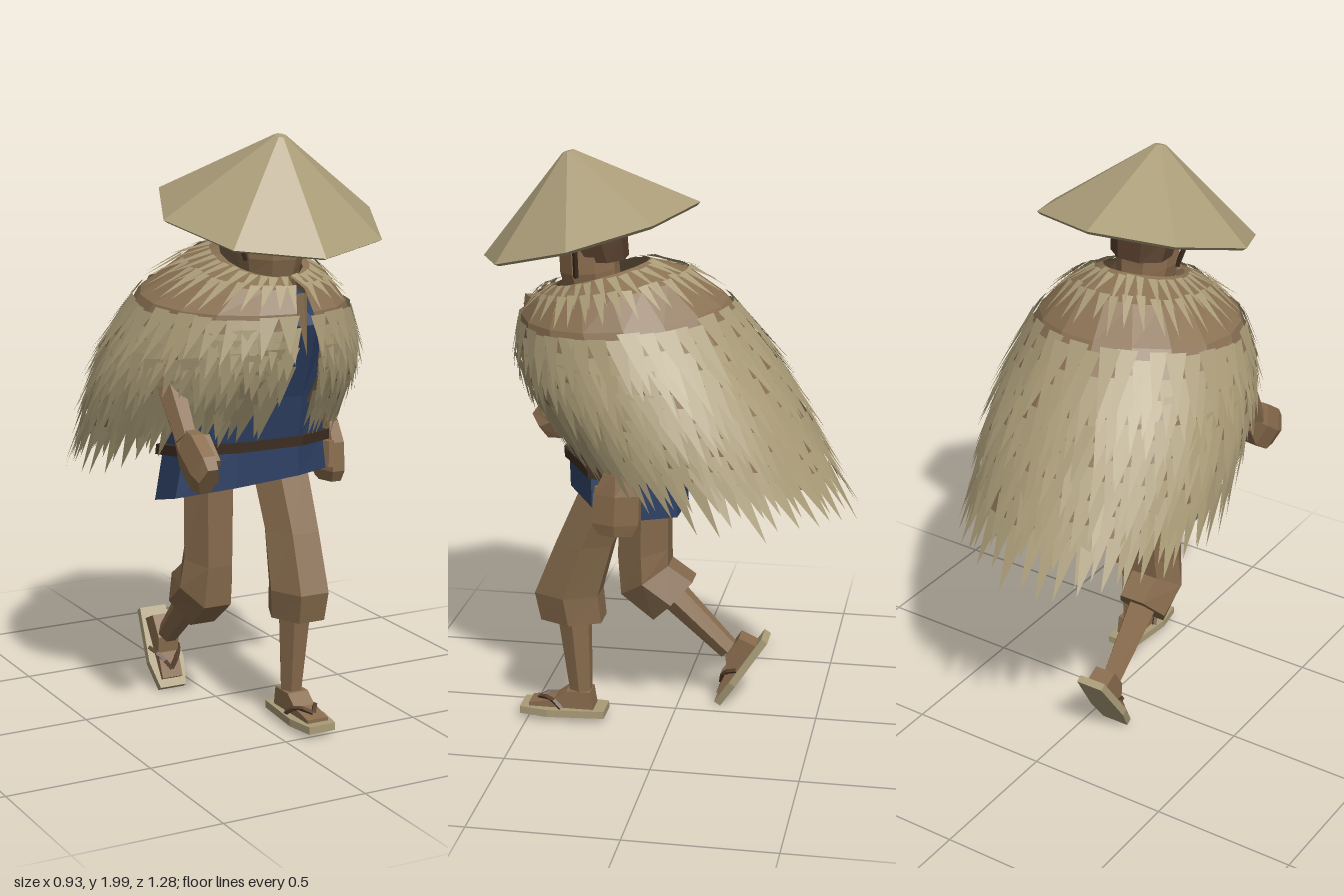
import * as THREE from 'three';

const mat = (name, color, side = THREE.FrontSide) => {
  const m = new THREE.MeshStandardMaterial({ color, side });
  m.name = name;
  return m;
};

// Flat normals for the faceted style
const flat = (g) => {
  const f = g.index ? g.toNonIndexed() : g;
  f.computeVertexNormals();
  return f;
};

const fromTriangles = (pts) => {
  const g = new THREE.BufferGeometry();
  g.setAttribute('position', new THREE.Float32BufferAttribute(pts.flatMap((p) => [p.x, p.y, p.z]), 3));
  return flat(g);
};

// Faceted limb through oval sections, listed top to bottom: [x, y, z, rx, rz, pitch, sideways slope]
function loft(sections, n = 6) {
  const rings = sections.map(([x, y, z, rx, rz, p = 0, slope = 0]) =>
    Array.from({ length: n }, (_, i) => {
      const a = ((i + 0.5) / n) * Math.PI * 2, lx = rx * Math.sin(a), lz = rz * Math.cos(a);
      return new THREE.Vector3(x + lx, y - lz * Math.sin(p) + lx * slope, z + lz * Math.cos(p));
    }));
  const mid = (s) => new THREE.Vector3(s[0], s[1], s[2]);
  const first = rings[0], last = rings[rings.length - 1], tris = [];
  for (let i = 0; i < n; i++) {
    const j = (i + 1) % n;
    for (let k = 0; k + 1 < rings.length; k++) {
      const A = rings[k], B = rings[k + 1];
      tris.push(B[i], B[j], A[j], B[i], A[j], A[i]);
    }
    tris.push(first[i], first[j], mid(sections[0]));
    tris.push(last[j], last[i], mid(sections[sections.length - 1]));
  }
  return fromTriangles(tris);
}

// Cape rings from collar to hem: [front y, front z, back y, back z, half width, centre x]
const RINGS = [
  [1.55, 0.40, 1.645, 0.08, 0.13, 0.04],
  [1.52, 0.47, 1.605, -0.06, 0.24, 0.03],
  [1.45, 0.52, 1.51, -0.18, 0.34, 0.01],
  [1.34, 0.535, 1.30, -0.33, 0.41, 0],
  [1.24, 0.50, 1.11, -0.44, 0.43, 0],
  [1.14, 0.42, 0.92, -0.53, 0.42, 0],
];
const BANDS = RINGS.length - 1;

function capePoint(a, t) {
  const k = Math.max(0, Math.min(BANDS - 1, Math.floor(t * BANDS))), f = t * BANDS - k;
  const [yF, zF, yB, zB, rx, cx] = RINGS[k].map((v, i) => v + (RINGS[k + 1][i] - v) * f);
  const c = (Math.cos(a) + 1) / 2;
  return new THREE.Vector3(cx + rx * Math.sin(a),
    yB + (yF - yB) * c - 0.04 * t * Math.sin(a) ** 2, zB + (zF - zB) * c);
}

function capeNormal(a, t) {
  const p = capePoint(a, t);
  const da = capePoint(a + 0.02, t).sub(p), dt = capePoint(a, t + 0.02).sub(p);
  return dt.cross(da).normalize();
}

// Angle around the cape, leaving a front slit that widens downwards
const capeAngle = (u, t) => {
  const gap = 0.04 + 0.14 * t;
  return 0.12 + gap + u * (Math.PI * 2 - 2 * gap);
};

function capeShell() {
  const tris = [], nu = 16;
  const P = (i, j) => capePoint(capeAngle(i / nu, j / BANDS), j / BANDS);
  for (let i = 0; i < nu; i++) for (let j = 0; j < BANDS; j++) {
    tris.push(P(i, j + 1), P(i + 1, j + 1), P(i + 1, j), P(i, j + 1), P(i + 1, j), P(i, j));
  }
  return fromTriangles(tris);
}

// Overlapping rows of broad, flat, pointed straw tufts
function capeStraw() {
  let seed = 7;
  const rnd = () => (seed = (seed * 16807) % 2147483647) / 2147483647;
  const tris = [];
  const row = (t0, count, width, length, lift, shift) => {
    for (let i = 0; i < count; i++) {
      const t = Math.min(0.96, t0 + (rnd() - 0.5) * 0.03);
      const a = capeAngle((i + 0.25 + shift * 0.5 + (rnd() - 0.5) * 0.25) / count, t);
      const front = (Math.cos(a) + 1) / 2;
      const n = capeNormal(a, Math.max(t, 0.01));
      const half = (width * (0.85 + rnd() * 0.3)) / 2;
      const c = capePoint(a, t), side = capePoint(a + 0.02, t).sub(c).setLength(half);
      const left = c.clone().sub(side).addScaledVector(n, 0.008 + rnd() * 0.006);
      const right = c.clone().add(side).addScaledVector(n, 0.008 + rnd() * 0.006);
      const tip = capePoint(a + (rnd() - 0.5) * 0.05, t + length * (0.85 + rnd() * 0.35 + 0.35 * front))
        .addScaledVector(n, lift * (0.7 + rnd() * 0.6));
      tris.push(left, tip, right);
    }
  };
  row(0.03, 30, 0.03, 0.2, 0.022, 0);
  row(0.17, 34, 0.036, 0.17, 0.022, 1);
  for (let k = 0; k < 10; k++) row(0.42 + k * 0.06, 40, 0.07, 0.18, 0.035, k % 2);
  return fromTriangles(tris);
}

export function createModel() {
  const straw = mat('straw', 0xaa9c78);
  const strawTuft = mat('straw tuft', 0xa89a76, THREE.DoubleSide);
  const capeBrown = mat('cape brown', 0x8a7153, THREE.DoubleSide);
  const skin = mat('skin', 0x896c4d);
  const trouser = mat('trouser brown', 0x84694b);
  const blue = mat('tunic blue', 0x2f4266);
  const dark = mat('dark leather', 0x3e2e22);
  const hairBrown = mat('hair brown', 0x573f2d);

  const model = new THREE.Group();
  model.name = 'walkingTraveller';
  const add = (name, geo, material, parent = model) => {
    const m = new THREE.Mesh(geo, material);
    m.name = name;
    parent.add(m);
    return m;
  };

  // Conical hat, hollow below and tipped forward
  const hatProfile = [[0, 0.245], [0.368, -0.01], [0.382, 0], [0.02, 0.267], [0, 0.267]]
    .map(([x, y]) => new THREE.Vector2(x, y));
  const hat = add('hat', flat(new THREE.LatheGeometry(hatProfile, 8)), straw);
  hat.position.set(0.05, 1.742, 0.277);
  hat.rotation.x = 0.272;

  // Head, hair and chin cords
  add('head', loft([[0.05, 1.84, 0.3, 0.08, 0.08], [0.05, 1.72, 0.285, 0.11, 0.1],
    [0.055, 1.61, 0.28, 0.112, 0.1, 0.1], [0.055, 1.56, 0.27, 0.1, 0.095, 0.15], [0.045, 1.46, 0.25, 0.1, 0.1]], 8), skin);
  add('hair', loft([[0.05, 1.82, 0.27, 0.1, 0.1], [0.05, 1.73, 0.265, 0.125, 0.11],
    [0.05, 1.65, 0.235, 0.11, 0.085]], 8), hairBrown);
  for (const s of [-1, 1]) {
    const cord = new THREE.LineCurve3(new THREE.Vector3(0.05 + s * 0.15, 1.73, 0.3),
      new THREE.Vector3(0.055 + s * 0.105, 1.6, 0.305));
    add('chinCord', flat(new THREE.TubeGeometry(cord, 1, 0.009, 4)), dark);
  }

  // Tunic and belt
  add('tunic', loft([[0.04, 1.51, 0.26, 0.09, 0.1], [0.03, 1.4, 0.25, 0.24, 0.24],
    [0.02, 1.15, 0.185, 0.27, 0.21], [0.02, 0.96, 0.16, 0.285, 0.2, -0.15],
    [0.015, 0.815, 0.155, 0.31, 0.205, -0.25, 0.07]], 8), blue);
  add('belt', loft([[0.02, 0.98, 0.162, 0.31, 0.215, -0.15], [0.02, 0.945, 0.158, 0.312, 0.217, -0.15]], 8), dark);

  // Straw cape with a hanging tie at the throat
  add('capeLining', capeShell(), capeBrown);
  add('capeStraw', capeStraw(), strawTuft);
  const tie = add('capeTie', flat(new THREE.ConeGeometry(0.026, 0.2, 4)), capeBrown);
  tie.position.set(0.05, 1.41, 0.505);
  tie.rotation.x = Math.PI - 0.25;

  // Legs: left planted in front, right pushing off behind
  add('leftTrouser', loft([[0.14, 0.9, 0.185, 0.105, 0.115], [0.138, 0.68, 0.285, 0.1, 0.112],
    [0.13, 0.49, 0.35, 0.105, 0.127], [0.13, 0.39, 0.335, 0.095, 0.122]]), trouser);
  add('rightTrouser', loft([[-0.09, 0.9, 0.12, 0.095, 0.1], [-0.095, 0.57, 0.125, 0.09, 0.105, 0.2],
    [-0.1, 0.47, 0.12, 0.1, 0.118, 0.6], [-0.1, 0.395, 0.02, 0.092, 0.118, 0.82]]), trouser);
  add('leftShin', loft([[0.125, 0.43, 0.335, 0.062, 0.064], [0.125, 0.09, 0.312, 0.036, 0.04]]), skin);
  add('rightShin', loft([[-0.1, 0.43, 0.05, 0.055, 0.058, 0.8], [-0.1, 0.21, -0.175, 0.036, 0.04, 0.8]]), skin);

  // Feet in sandals, built heel to toe along +z
  const sideShape = (pts, width) => {
    const g = new THREE.ExtrudeGeometry(new THREE.Shape(pts.map(([x, y]) => new THREE.Vector2(x, y))),
      { depth: width, bevelEnabled: false });
    g.rotateY(-Math.PI / 2).translate(width / 2, 0, 0);
    return flat(g);
  };
  const soleShape = new THREE.Shape([[-0.05, -0.15], [0.05, -0.15], [0.068, -0.05], [0.05, 0.15], [-0.05, 0.15], [-0.068, -0.05]]
    .map(([x, y]) => new THREE.Vector2(x, y)));
  const soleGeo = flat(new THREE.ExtrudeGeometry(soleShape, { depth: 0.026, bevelEnabled: false })
    .rotateX(-Math.PI / 2));
  const footGeo = sideShape([[-0.11, 0.026], [0.12, 0.026], [0.12, 0.038], [0.03, 0.055], [-0.015, 0.09], [-0.1, 0.09]], 0.078);
  for (const [name, x, y, z, pitch] of [['leftFoot', 0.125, 0.03, 0.375, 0], ['rightFoot', -0.1, 0.135, -0.235, 0.983]]) {
    const foot = new THREE.Group();
    foot.name = name;
    foot.position.set(x, y, z);
    foot.rotation.x = pitch;
    add('sandalSole', soleGeo, straw, foot);
    add('foot', footGeo, skin, foot);
    for (const s of [-1, 1]) {
      const strap = new THREE.QuadraticBezierCurve3(new THREE.Vector3(s * 0.055, 0.03, 0.0),
        new THREE.Vector3(s * 0.04, 0.075, 0.04), new THREE.Vector3(0, 0.046, 0.09));
      add('sandalStrap', flat(new THREE.TubeGeometry(strap, 3, 0.009, 4)), hairBrown, foot);
    }
    model.add(foot);
  }

  // Arms: right swung forward, left hanging
  add('rightArm', loft([[-0.26, 1.42, 0.2, 0.07, 0.07], [-0.32, 1.22, 0.29, 0.05, 0.055, -0.4],
    [-0.315, 1.05, 0.4, 0.038, 0.045, -0.8]]), skin);
  add('rightHand', loft([[-0.31, 1.06, 0.37, 0.036, 0.045, -1], [-0.31, 1.02, 0.425, 0.045, 0.085, -1],
    [-0.31, 0.965, 0.505, 0.045, 0.085, -1], [-0.31, 0.945, 0.545, 0.036, 0.06, -1]]), skin);
  add('rightThumb', loft([[-0.275, 1.06, 0.45, 0.02, 0.025, -1], [-0.27, 0.99, 0.52, 0.018, 0.022, -1]]), skin);
  add('leftArm', loft([[0.27, 1.42, 0.2, 0.07, 0.07], [0.35, 1.18, 0.12, 0.05, 0.055],
    [0.362, 0.97, 0.13, 0.036, 0.045]]), skin);
  add('leftHand', loft([[0.365, 1.0, 0.13, 0.036, 0.05], [0.365, 0.93, 0.13, 0.046, 0.088],
    [0.365, 0.83, 0.135, 0.047, 0.09], [0.368, 0.79, 0.135, 0.036, 0.066]]), skin);
  add('leftThumb', loft([[0.335, 0.94, 0.19, 0.02, 0.025], [0.33, 0.85, 0.2, 0.018, 0.022]]), skin);

  return model;
}
